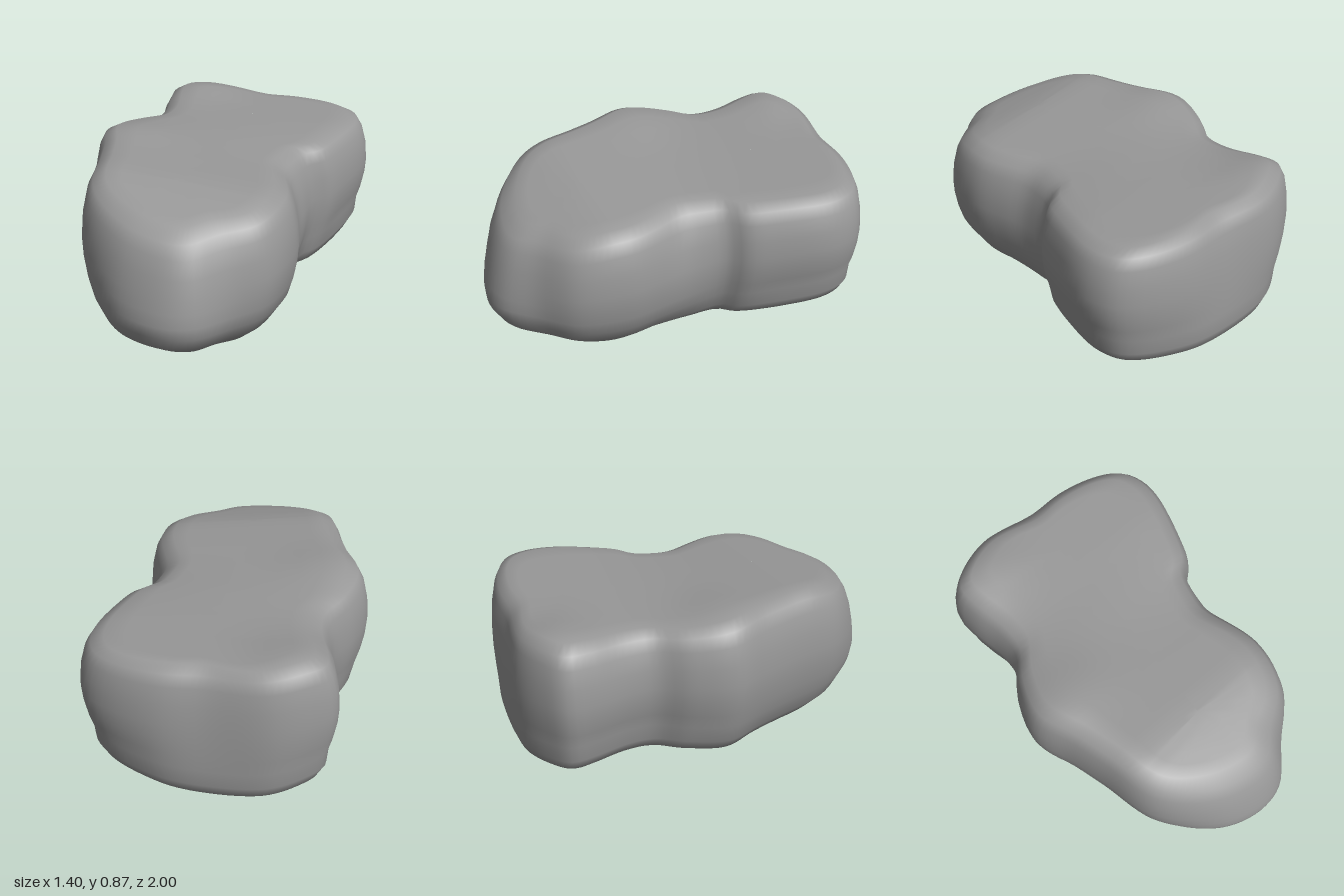
import * as THREE from 'three';
import { mergeVertices } from 'three/addons/utils/BufferGeometryUtils.js';

// Widest outline of the boulder seen from above, as [x, z]
const OUTLINE = [
  [-0.535, -0.84], [-0.44, -0.925], [-0.25, -1], [0.08, -0.98], [0.32, -0.95], [0.56, -0.85],
  [0.66, -0.76], [0.695, -0.65], [0.69, -0.54], [0.62, -0.32], [0.56, -0.19], [0.485, -0.12],
  [0.47, 0.02], [0.475, 0.22], [0.49, 0.42], [0.42, 0.67], [0.26, 0.83], [0.11, 0.97],
  [-0.04, 1], [-0.29, 0.92], [-0.53, 0.66], [-0.6, 0.34], [-0.64, 0.17], [-0.7, -0.04],
  [-0.63, -0.24], [-0.53, -0.38], [-0.515, -0.52], [-0.54, -0.7],
];

// Wall layers from bottom to top: [height fraction, side inset, front inset, back inset]
const LAYERS = [
  [0, 0.2, 0.24, 0.06], [0.03, 0.13, 0.15, 0.02], [0.12, 0.075, 0.045, 0], [0.25, 0.042, 0.003, 0],
  [0.36, 0.02, 0, 0.004], [0.48, 0.005, 0.012, 0.01], [0.6, 0, 0.03, 0.02],
  [0.75, 0.01, 0.055, 0.035], [0.88, 0.033, 0.09, 0.06], [0.96, 0.066, 0.13, 0.085],
  [1, 0.13, 0.21, 0.14],
];

// Heights along z, as [z, y]
const TOP = [[-1, 0.83], [-0.8, 0.832], [-0.4, 0.82], [-0.2, 0.83], [0.1, 0.845],
  [0.48, 0.845], [0.65, 0.8], [0.8, 0.755], [1, 0.68]];
const BOTTOM = [[-1, 0.12], [-0.8, 0.105], [-0.45, 0.095], [-0.22, 0.07], [0, 0.02],
  [0.2, 0.003], [0.42, -0.002], [0.6, 0.015], [0.8, 0.045], [1, 0.1]];

const { clamp, lerp, smoothstep } = THREE.MathUtils;

function sample(table, z) {
  let i = 0;
  while (i < table.length - 2 && z > table[i + 1][0]) i++;
  const [z0, y0] = table[i], [z1, y1] = table[i + 1];
  return lerp(y0, y1, clamp((z - z0) / (z1 - z0), 0, 1));
}

// Averages neighbouring heights to round off the bends
const softSample = (table, z) =>
  (sample(table, z - 0.08) + 2 * sample(table, z) + sample(table, z + 0.08)) / 4;

const bump = (x, z, cx, cz, spread) => Math.exp(-((x - cx) ** 2 + (z - cz) ** 2) / spread);

// Top leans down towards +x at the front, with low humps at the back corner and on the -x side
function topY(x, z) {
  const lean = lerp(0.01, 0.095, smoothstep(z, -0.5, 0.15));
  return softSample(TOP, z) - lean * (x + 0.4)
    + 0.035 * bump(x, z, -0.35, -0.82, 0.04) + 0.02 * bump(x, z, -0.45, -0.03, 0.03);
}

// Underside curves up to both sides
const bottomY = (x, z) => softSample(BOTTOM, z) + 0.15 * x * x;

// Side inset: fuller foot at the back, undercut foot at the front, hollow in the +x waist
function sideInset(side, t, p, dx) {
  const foot = lerp(0.65, dx > 0 ? 1.4 : 1.1, smoothstep(p.z, -0.4, 0.3));
  const hollow = dx > 0 ? 0.05 * t * t * bump(0, p.z, 0, 0.08, 0.02) : 0;
  return side * (t < 0.2 ? foot : 1) + hollow;
}

function boulderGeometry() {
  const count = 144;
  const curve = new THREE.CatmullRomCurve3(
    OUTLINE.map(([x, z]) => new THREE.Vector3(x, 0, z)), true, 'centripetal');
  const points = curve.getSpacedPoints(count).slice(0, count);

  // Caps shrink the first and last wall layer down to the spine
  const steps = [0, 0.2, 0.4, 0.6, 0.8];
  const rings = [
    ...steps.map((k) => [LAYERS[0], k]),
    ...LAYERS.map((layer) => [layer, 1]),
    ...steps.slice().reverse().map((k) => [LAYERS[LAYERS.length - 1], k]),
  ];

  const positions = [];
  for (const [[t, side, front, back], k] of rings) {
    for (const p of points) {
      const sz = clamp(p.z, -0.62, 0.48);
      const sx = lerp(0.07, -0.06, (sz + 0.62) / 1.1);
      const dx = p.x - sx, dz = p.z - sz;
      const length = Math.hypot(dx, dz);
      const inset = lerp(sideInset(side, t, p, dx), dz > 0 ? front : back, (dz / length) ** 2);
      const scale = k * (1 - inset / length);
      const x = sx + dx * scale, z = sz + dz * scale;
      positions.push(x, lerp(bottomY(x, z), topY(x, z), t), z);
    }
  }

  const index = [];
  for (let j = 0; j < rings.length - 1; j++) {
    for (let i = 0; i < count; i++) {
      const n = (i + 1) % count;
      const a = j * count + i, b = j * count + n;
      const c = a + count, d = b + count;
      index.push(a, c, b, b, c, d);
    }
  }

  let geometry = new THREE.BufferGeometry();
  geometry.setAttribute('position', new THREE.Float32BufferAttribute(positions, 3));
  geometry.setIndex(index);
  geometry = mergeVertices(geometry, 1e-4);
  geometry.computeVertexNormals();
  return geometry;
}

export function createModel() {
  const group = new THREE.Group();
  group.name = 'rock';
  const boulder = new THREE.Mesh(
    boulderGeometry(), new THREE.MeshStandardMaterial({ color: 0x989898 }));
  boulder.name = 'boulder';
  group.add(boulder);
  return group;
}
